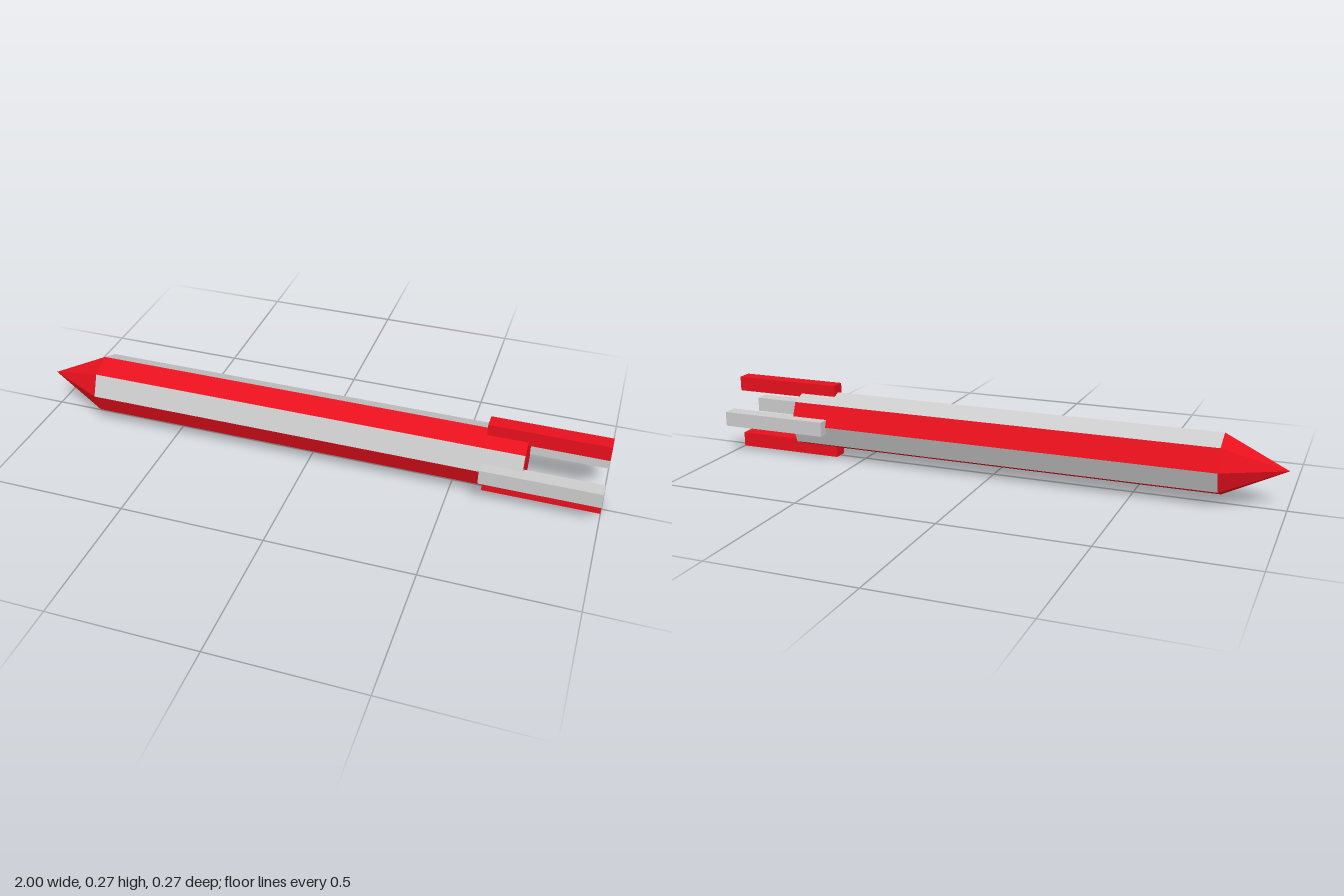
import * as THREE from 'three';
import { mergeGeometries } from 'three/addons/utils/BufferGeometryUtils.js';

const R = 0.105;        // corner radius of the eight-sided body
const AXIS_Y = 0.134;   // height of the long axis
const NOSE_X = -1, FRONT_X = -0.79, REAR_X = 0.74;

export function createModel() {
  const group = new THREE.Group();
  const red = new THREE.MeshStandardMaterial({ color: 0xe8101d, flatShading: true });
  const grey = new THREE.MeshStandardMaterial({ color: 0xcccccc, flatShading: true });

  const add = (name, geometry, material, x, y = 0, z = 0) => {
    const mesh = new THREE.Mesh(geometry, material);
    mesh.name = name;
    mesh.position.set(x, AXIS_Y + y, z);
    group.add(mesh);
  };

  // Body sides: eight long panels, alternating grey and red
  const length = REAR_X - FRONT_X;
  const panels = (first) => {
    const parts = [];
    for (let i = first; i < 8; i += 2) {
      parts.push(new THREE.CylinderGeometry(R, R, length, 1, 1, true, i * Math.PI / 4, Math.PI / 4));
    }
    return mergeGeometries(parts).rotateZ(Math.PI / 2);
  };
  const midX = (FRONT_X + REAR_X) / 2;
  add('greyBodyPanels', panels(0), grey, midX);
  add('redBodyPanels', panels(1), red, midX);

  // Pointed nose and flat rear cap
  const noseLength = FRONT_X - NOSE_X;
  add('nose', new THREE.ConeGeometry(R, noseLength, 8, 1, true).rotateZ(Math.PI / 2), red, NOSE_X + noseLength / 2);
  add('rearCap', new THREE.CircleGeometry(R, 8).rotateY(Math.PI / 2), red, REAR_X);

  // Four square fins reaching past the rear end
  const fin = new THREE.BoxGeometry(0.395, 0.052, 0.052);
  const finX = 0.8025, finOffset = 0.108;
  add('topFin', fin, red, finX, finOffset);
  add('bottomFin', fin, red, finX, -finOffset);
  add('frontFin', fin, grey, finX, 0, finOffset);
  add('backFin', fin, grey, finX, 0, -finOffset);

  return group;
}
